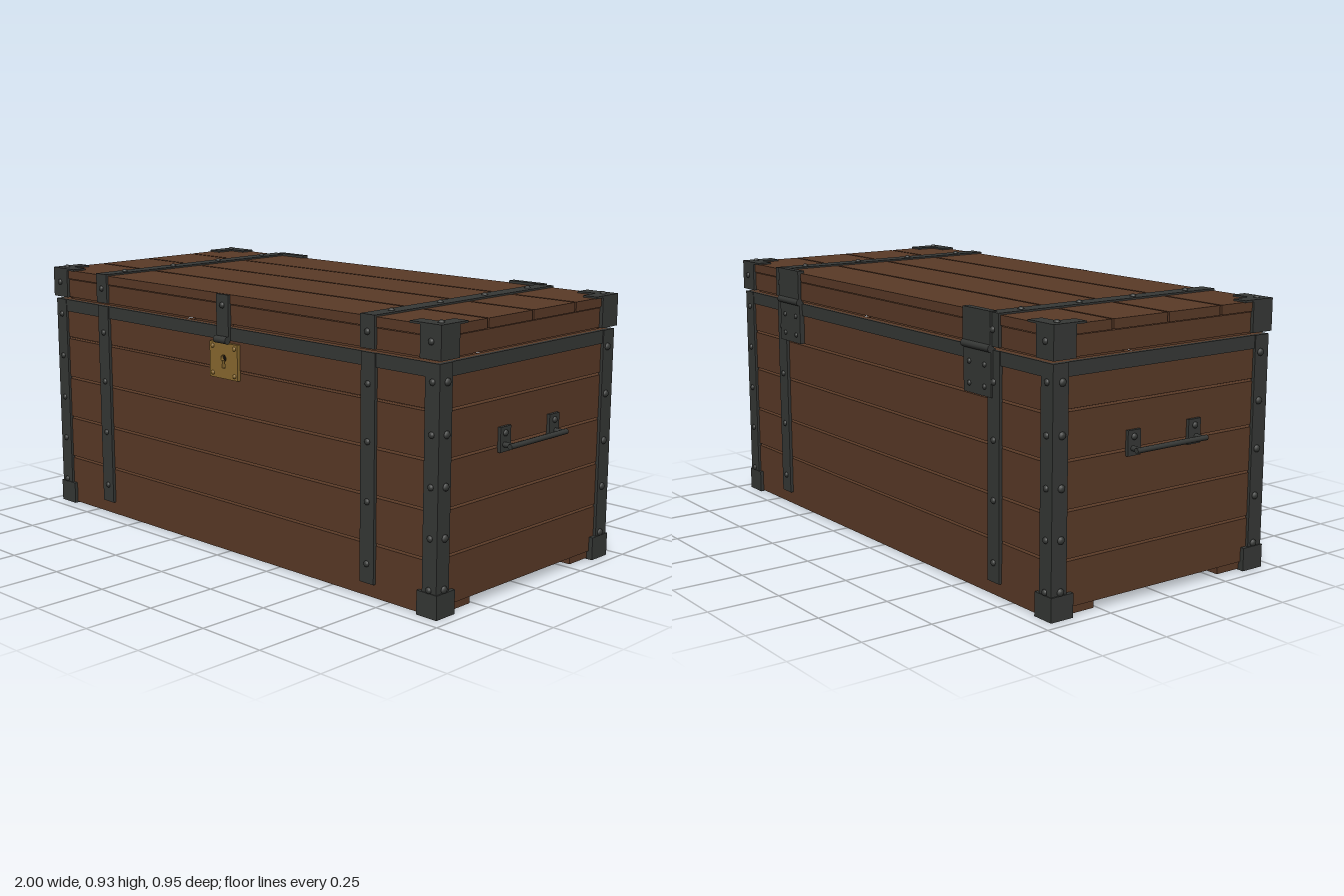
import * as THREE from 'three';

const material = (color) => new THREE.MeshStandardMaterial({ color });
const wood = material(0x5a3a27);
const iron = material(0x363836);
const brass = material(0x8a6a30);
const dark = material(0x100d0a);
const SIDES = [1, -1];

export function createModel() {
  const root = new THREE.Group();
  root.name = 'chest';
  const group = (name) => {
    const g = new THREE.Group();
    g.name = name;
    root.add(g);
    return g;
  };
  const add = (parent, name, geometry, mat) => {
    const mesh = new THREE.Mesh(geometry, mat);
    mesh.name = name;
    parent.add(mesh);
    return mesh;
  };
  // box given by its limits on each axis, in either order
  const box = (parent, name, mat, [x0, x1], [y0, y1], [z0, z1]) =>
    add(parent, name, new THREE.BoxGeometry(Math.abs(x1 - x0), Math.abs(y1 - y0), Math.abs(z1 - z0)), mat)
      .position.set((x0 + x1) / 2, (y0 + y1) / 2, (z0 + z1) / 2);

  // L-shaped corner iron: outer corner (x, z), arms reaching inward
  const angleIron = (parent, name, sx, sz, [x, z], [armX, armZ], t, [y0, y1]) => {
    const points = [[x, z], [x - armX, z], [x - armX, z - t], [x - t, z - t], [x - t, z - armZ], [x, z - armZ]];
    const shape = new THREE.Shape(points.map(([px, pz]) => new THREE.Vector2(px * sx, -pz * sz)));
    const geo = new THREE.ExtrudeGeometry(shape, { depth: y1 - y0, bevelEnabled: false });
    geo.rotateX(-Math.PI / 2);
    add(parent, name, geo, iron).position.y = y0;
  };

  // domed rivet facing along a normal
  const dome = new THREE.SphereGeometry(1, 10, 4, 0, Math.PI * 2, 0, Math.PI / 2);
  const up = new THREE.Vector3(0, 1, 0);
  const rivet = (parent, position, normal, r = 0.011, mat = iron) => {
    const m = add(parent, 'rivet', dome, mat);
    m.position.set(...position);
    m.scale.set(r, r * 0.75, r);
    m.quaternion.setFromUnitVectors(up, new THREE.Vector3(...normal));
  };
  const rod = (parent, name, mat, r, length, axis, position) => {
    const geo = new THREE.CylinderGeometry(r, r, length, 12);
    if (axis === 'x') geo.rotateZ(Math.PI / 2);
    if (axis === 'z') geo.rotateX(Math.PI / 2);
    add(parent, name, geo, mat).position.set(...position);
  };

  // body planks with open gaps, each wall's joints a little different
  const body = group('body');
  const gap = 0.004;
  const rows = (joints, make) => {
    for (let i = 0; i < joints.length - 1; i++) make([joints[i] + gap, joints[i + 1] - gap]);
  };
  rows([0.026, 0.182, 0.34, 0.497, 0.652, 0.804], (y) => box(body, 'frontPlank', wood, [-0.945, 0.945], y, [0.42, 0.445]));
  rows([0.026, 0.189, 0.335, 0.497, 0.645, 0.804], (y) => box(body, 'backPlank', wood, [-0.945, 0.945], y, [-0.445, -0.42]));
  for (const s of SIDES)
    rows([0.026, s > 0 ? 0.19 : 0.183, 0.34, 0.496, 0.651, 0.804], (y) =>
      box(body, 'sidePlank', wood, [s * 0.92, s * 0.947], y, [-0.42, 0.42]));
  box(body, 'floor', dark, [-0.92, 0.92], [0.032, 0.045], [-0.42, 0.42]);
  for (const s of SIDES) box(body, 'runner', wood, [-0.94, 0.94], [0.004, 0.03], [s * 0.27, s * 0.445]);

  // iron frame of the body
  const frame = group('ironFrame');
  for (const s of SIDES) {
    box(frame, 'rimBand', iron, [-0.952, 0.952], [0.755, 0.8], [s * 0.44, s * 0.452]);
    box(frame, 'rimBand', iron, [s * 0.94, s * 0.953], [0.755, 0.8], [-0.45, 0.45]);
    for (const z of SIDES) {
      angleIron(frame, 'cornerPost', s, z, [0.957, 0.454], [0.058, 0.06], 0.014, [0.03, 0.8]);
      box(frame, 'foot', iron, [s * 0.88, s * 0.962], [0, 0.08], [z * 0.37, z * 0.457]);
      for (const y of [0.09, 0.255, 0.417, 0.58, 0.742]) {
        const lift = y < 0.1 ? 0.002 : 0;
        rivet(frame, [s * 0.957, y, z * 0.418], [s, 0, 0], 0.013);
        rivet(frame, [s * 0.928, y, z * (0.454 + lift)], [0, 0, z]);
      }
    }
  }

  // lid: top boards with gaps, over a ring of side boards
  const lid = group('lid');
  const seams = [-0.456, -0.225, 0.003, 0.23, 0.456];
  for (let i = 0; i < 4; i++)
    box(lid, 'topPlank', wood, [-0.957, 0.957], [0.881, 0.913], [seams[i] + gap, seams[i + 1] - gap]);
  for (const s of SIDES) {
    box(lid, 'lidLongBoard', wood, [-0.95, 0.95], [0.812, 0.878], [s * 0.42, s * 0.449]);
    box(lid, 'lidEndBoard', wood, [s * 0.92, s * 0.952], [0.812, 0.878], [-0.42, 0.42]);
    box(lid, 'lidBatten', wood, [s * 0.87, s * 0.92], [0.86, 0.881], [-0.42, 0.42]);
    for (const z of SIDES) {
      angleIron(lid, 'lidCorner', s, z, [0.964, 0.459], [0.083, 0.087], 0.014, [0.81, 0.918]);
      angleIron(lid, 'lidCornerPlate', s, z, [0.964, 0.459], [0.125, 0.125], 0.055, [0.912, 0.919]);
      rivet(lid, [s * 0.93, 0.919, z * 0.42], [0, 1, 0]);
      rivet(lid, [s * 0.925, 0.865, z * 0.459], [0, 0, z]);
    }
  }

  // straps running up both walls and across the lid
  const straps = group('straps');
  for (const s of SIDES) {
    const width = [s * 0.638, s * 0.698];
    const x = s * 0.668;
    box(straps, 'topStrap', iron, width, [0.911, 0.919], [-0.46, 0.46]);
    for (const z of [-0.35, -0.115, 0.115, 0.35]) rivet(straps, [x, 0.919, z], [0, 1, 0]);
    for (const z of SIDES) {
      box(straps, 'lidStrap', iron, width, [0.812, 0.919], [z * 0.446, z * 0.46]);
      box(straps, 'wallStrap', iron, width, [0.05, 0.8], [z * 0.443, z * 0.456]);
      for (const y of [0.115, 0.32, 0.515, 0.7]) rivet(straps, [x, y, z * 0.456], [0, 0, z]);
      rivet(straps, [x, 0.865, z * 0.46], [0, 0, z]);
    }
  }

  // hinges at the back
  const hinges = group('hinges');
  for (const s of SIDES) {
    const width = [s * 0.52, s * 0.664];
    box(hinges, 'hingeTopFlap', iron, width, [0.912, 0.922], [-0.466, -0.44]);
    box(hinges, 'hingeLidLeaf', iron, width, [0.805, 0.922], [-0.467, -0.455]);
    box(hinges, 'hingeWallLeaf', iron, width, [0.65, 0.805], [-0.463, -0.445]);
    rod(hinges, 'hingeBarrel', iron, 0.013, 0.144, 'x', [s * 0.592, 0.805, -0.463]);
    for (const x of [0.55, 0.63]) for (const y of [0.68, 0.75])
      rivet(hinges, [s * x, y, -0.463], [0, 0, -1], 0.009);
  }

  // hasp and brass lock plate with a cut keyhole
  const lock = group('lock');
  const plate = new THREE.Shape([[-0.07, -0.062], [0.07, -0.062], [0.07, 0.062], [-0.07, 0.062]]
    .map(([x, y]) => new THREE.Vector2(x, y)));
  const keyhole = new THREE.Path();
  keyhole.moveTo(-0.007, -0.026);
  keyhole.lineTo(0.007, -0.026);
  keyhole.lineTo(0.006, 0);
  keyhole.absarc(0, 0.008, 0.013, -0.9, Math.PI + 0.9, false);
  keyhole.lineTo(-0.006, 0);
  keyhole.closePath();
  plate.holes.push(keyhole);
  add(lock, 'lockPlate', new THREE.ExtrudeGeometry(plate, { depth: 0.014, bevelEnabled: false }), brass)
    .position.set(0, 0.683, 0.444);
  box(lock, 'keyholeBack', dark, [-0.02, 0.02], [0.65, 0.71], [0.443, 0.446]);
  for (const x of SIDES) for (const y of SIDES)
    rivet(lock, [x * 0.055, 0.683 + y * 0.047, 0.458], [0, 0, 1], 0.008, brass);
  box(lock, 'hasp', iron, [-0.03, 0.03], [0.757, 0.912], [0.448, 0.461]);
  rod(lock, 'haspBarrel', iron, 0.013, 0.06, 'x', [0, 0.757, 0.465]);
  rivet(lock, [0, 0.875, 0.461], [0, 0, 1]);

  // carrying handles on both ends
  const handles = group('handles');
  for (const s of SIDES) {
    rod(handles, 'handleBar', iron, 0.009, 0.3, 'z', [s * 0.991, 0.5, 0]);
    for (const z of SIDES) {
      box(handles, 'handlePlate', iron, [s * 0.945, s * 0.958], [0.476, 0.558], [z * 0.102, z * 0.155]);
      rod(handles, 'handleArm', iron, 0.009, 0.045, 'x', [s * 0.97, 0.5, z * 0.135]);
      rivet(handles, [s * 0.958, 0.537, z * 0.13], [s, 0, 0]);
    }
  }
  return root;
}
